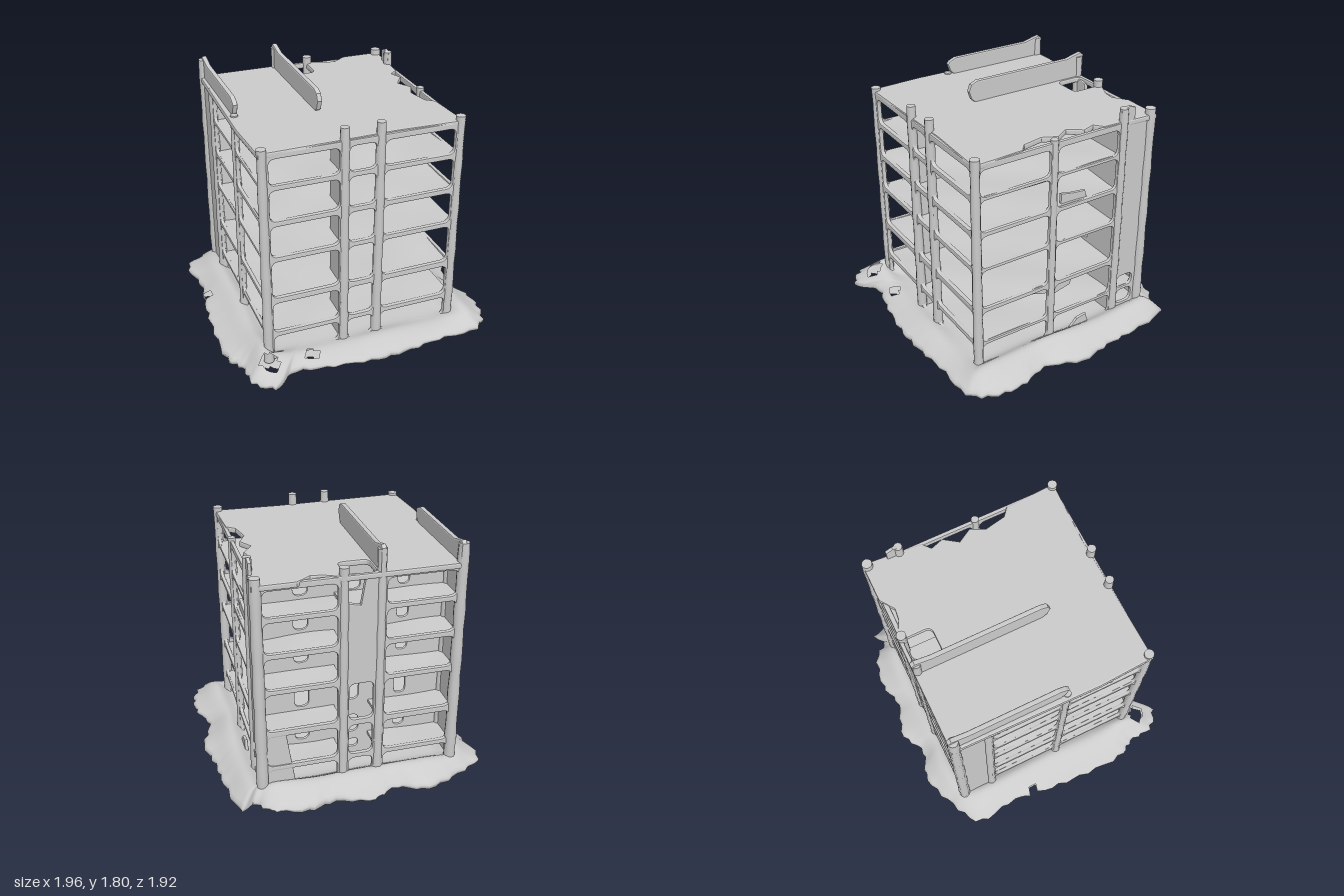
import * as THREE from 'three';
import { toCreasedNormals } from 'three/addons/utils/BufferGeometryUtils.js';

const grey = new THREE.MeshStandardMaterial({ color: 0xcccccc, side: THREE.DoubleSide });
// clear height of each storey (main faces, then the thinner side beams) and floor levels
const storeys = [[0.07, 0.225], [0.262, 0.495], [0.54, 0.82], [0.858, 1.085], [1.125, 1.345], [1.383, 1.565]];
const sideStoreys = [[0.07, 0.232], [0.256, 0.5], [0.532, 0.828], [0.852, 1.09], [1.12, 1.352], [1.376, 1.565]];
const levels = [0.243, 0.515, 0.84, 1.105, 1.362];

const wave = (x, z, s = 0) => Math.sin(x * 7 + s) * Math.cos(z * 6 + s * 2) * 0.7 + Math.sin(x * 9 + z * 8 + s) * 0.3;

function add(parent, name, geo, x = 0, y = 0, z = 0) {
  const m = new THREE.Mesh(geo, grey);
  m.name = name;
  m.position.set(x, y, z);
  parent.add(m);
  return m;
}

// rounded rectangular opening
function opening([x0, x1, y0, y1]) {
  const r = Math.min(0.045, (x1 - x0) * 0.45, (y1 - y0) * 0.45);
  const p = new THREE.Path();
  p.moveTo(x0 + r, y0);
  p.lineTo(x1 - r, y0); p.quadraticCurveTo(x1, y0, x1, y0 + r);
  p.lineTo(x1, y1 - r); p.quadraticCurveTo(x1, y1, x1 - r, y1);
  p.lineTo(x0 + r, y1); p.quadraticCurveTo(x0, y1, x0, y1 - r);
  p.lineTo(x0, y0 + r); p.quadraticCurveTo(x0, y0, x0 + r, y0);
  return p;
}

// upright wall with openings, outline given as [u, v] corners
function wall(parent, name, outline, holes, depth = 0.035) {
  const s = new THREE.Shape(outline.map(p => new THREE.Vector2(...p)));
  s.holes = holes.map(opening);
  const b = Math.min(0.01, depth * 0.25);
  const g = new THREE.ExtrudeGeometry(s, {
    depth: depth - 2 * b, bevelSize: b, bevelThickness: b, bevelOffset: -b, bevelSegments: 2, curveSegments: 5
  });
  g.translate(0, 0, b - depth / 2);
  return add(parent, name, toCreasedNormals(g, 0.35));
}
const rect = (x0, x1, y0, y1) => [[x0, y0], [x1, y0], [x1, y1], [x0, y1]];
const bays = (list, rows) => list.flatMap(b => rows.map(s => [...b, ...s]));

// slightly uneven round column
function column(parent, name, x, z, top, r = 0.035) {
  const g = new THREE.CylinderGeometry(r * 0.9, r, top - 0.03, 12, 14);
  const p = g.attributes.position;
  for (let i = 0; i < p.count; i++) {
    const k = 1 + 0.07 * Math.sin(p.getY(i) * 19 + x * 5 + z * 3);
    p.setX(i, p.getX(i) * k);
    p.setZ(i, p.getZ(i) * k);
  }
  add(parent, name, toCreasedNormals(g, 0.9), x, (top + 0.03) / 2, z);
}

// uneven floor slab
function slab(parent, name, y, x0, x1, z0, z1, seed) {
  const g = new THREE.BoxGeometry(x1 - x0, 0.022, z1 - z0, 28, 1, 28);
  g.translate((x0 + x1) / 2, 0, (z0 + z1) / 2);
  const p = g.attributes.position;
  for (let i = 0; i < p.count; i++) p.setY(i, p.getY(i) + 0.011 * wave(p.getX(i), p.getZ(i), seed));
  add(parent, name, toCreasedNormals(g, 0.8), 0, y, 0);
}

// torn scrap hanging from or standing on a slab edge, facing sideways
function scrap(parent, x, outline) {
  const m = wall(parent, 'tornScrap', outline, [], 0.025);
  m.rotation.y = -Math.PI / 2;
  m.position.x = x;
}

// ragged mound of ground with a flat underside
function ground(parent) {
  const edge = new THREE.CatmullRomCurve3([
    [0.96, 0], [0.88, 0.27], [0.95, 0.5], [0.93, 0.72], [0.82, 0.86], [0.5, 0.88], [0.22, 0.91], [-0.03, 0.92],
    [-0.35, 0.88], [-0.6, 0.84], [-0.74, 0.95], [-0.88, 0.86], [-0.9, 0.68], [-0.97, 0.55], [-0.98, 0.2], [-0.96, -0.1],
    [-0.92, -0.4], [-0.95, -0.7], [-0.72, -0.84], [-0.46, -0.93], [-0.25, -0.87], [-0.06, -0.96], [0.2, -0.89],
    [0.4, -0.94], [0.65, -0.88], [0.74, -0.78], [0.82, -0.83], [0.9, -0.5], [0.92, -0.25]
  ].map(([x, z]) => new THREE.Vector3(x, 0, z)), true);
  const N = 144, R = 26, pos = [], idx = [];
  const outline = edge.getPoints(N);
  for (const top of [true, false]) for (let k = 0; k <= R; k++) for (let j = 0; j < N; j++) {
    const t = Math.sqrt(k / R), rag = 1 + 0.012 * Math.sin(j * 2.3) * t ** 8;
    const x = outline[j].x * t * rag, z = outline[j].z * t * rag;
    const d = Math.max(Math.abs(x), Math.abs(z)) - 0.75;
    const corner = 0.025 * Math.exp(-(((x + 0.76) ** 2 + (z - 0.62) ** 2) / 0.03));
    const side = (z > 0 ? 0.075 - 0.045 * THREE.MathUtils.smoothstep(z - Math.abs(x), -0.1, 0.2) : 0.075) + corner;
    const berm = side * Math.exp(-((d / (d < 0 ? 0.08 : 0.12)) ** 2)) * (1 + 0.3 * wave(x, z, 1));
    const h = (0.062 + 0.008 * wave(x, z) + berm) * (1 - t ** 16) + 0.035 * t ** 16;
    pos.push(x, top ? h : 0.014 + 0.012 * wave(x, z, 3) * t * t, z);
  }
  const holes = [[-0.72, 0.79, 0.06], [-0.41, 0.76, 0.045], [-0.91, -0.17, 0.035]];
  for (let s = 0; s < 2; s++) for (let k = 0; k < R; k++) for (let j = 0; j < N; j++) {
    const o = s * (R + 1) * N, n = (j + 1) % N;
    const a = o + k * N + j, b = a + N, c = o + (k + 1) * N + n, e = o + k * N + n;
    if (holes.some(([x, z, r]) => Math.hypot(pos[3 * a] - x, pos[3 * a + 2] - z) < r)) continue;
    if (s) idx.push(a, b, c, a, c, e); else idx.push(a, c, b, a, e, c);
  }
  for (let j = 0; j < N; j++) {
    const n = (j + 1) % N, a = R * N + j, b = R * N + n, o = (R + 1) * N;
    idx.push(a, b, b + o, a, b + o, a + o);
  }
  const g = new THREE.BufferGeometry();
  g.setAttribute('position', new THREE.Float32BufferAttribute(pos, 3));
  g.setIndex(idx);
  g.computeVertexNormals();
  add(parent, 'ground', g);
}

export function createModel() {
  const model = new THREE.Group();
  model.name = 'ruinedBuilding';
  ground(model);

  // front frame: three bays
  const cols = [-0.71, -0.16, 0.09, 0.66];
  wall(model, 'frontFrame', rect(-0.73, 0.68, 0.04, 1.61),
    bays([[-0.67, -0.195], [-0.13, 0.06], [0.12, 0.625]], storeys)).position.z = 0.67;

  // rear frame: open outer bays, stair bay closed in its upper part and notched at the top
  wall(model, 'rearFrame',
    [[-0.73, 0.04], [0.68, 0.04], [0.68, 1.61], [0.09, 1.61], [0.07, 1.42], [-0.02, 1.4], [-0.05, 1.59], [-0.15, 1.61], [-0.73, 1.61]],
    [...bays([[-0.68, -0.2], [0.13, 0.62]], storeys), ...bays([[-0.12, 0.05]], storeys.slice(0, 3))]).position.z = -0.71;
  wall(model, 'rearPanel', [[0.42, 0.05], [0.66, 0.05], [0.66, 0.52], [0.49, 0.52]], [], 0.02).position.z = -0.71;

  // recessed rear wall with windows
  const sills = [[0.15, 0.215], [0.28, 0.42], [0.55, 0.72], [0.9, 1.06], [1.15, 1.28], [1.4, 1.51]];
  const windows = sills.flatMap(([a, b], i) => [
    [-0.435, -0.355, a, b], [0.27, 0.37, a, b], ...(i === 3 ? [] : [[-0.09, 0.02, a, b]])]);
  wall(model, 'recessedWall', rect(-0.7, 0.66, 0.04, 1.6), windows, 0.025).position.z = -0.47;

  // side frames, closed toward the rear
  for (const [name, x] of [['rightFrame', -0.71], ['leftFrame', 0.66]]) {
    const low = x > 0 ? [[-0.65, -0.51, 0.26, 0.36], [-0.65, -0.51, 0.12, 0.235]] : [];
    const f = wall(model, name, rect(-0.74, 0.69, 0.04, 1.61),
      [...bays([[-0.445, 0.05], [0.11, 0.64]], sideStoreys), ...low], 0.028);
    f.rotation.y = -Math.PI / 2;
    f.position.x = x;
    column(model, 'sideColumn', x, 0.08, 1.63, 0.03);
    column(model, 'sideColumn', x, -0.48, x > 0 ? 1.71 : 1.62);
  }

  // front and rear columns
  [1.64, 1.7, 1.7, 1.65].forEach((top, i) => column(model, 'frontColumn', cols[i], 0.67, top));
  [1.75, 1.77, 1.67, 1.66].forEach((top, i) => column(model, 'rearColumn', cols[i], -0.71, top, i % 3 ? 0.035 : 0.042));

  // fin wall behind the front column
  const fin = wall(model, 'finWall', rect(0.45, 0.67, 0.05, 1.59), [], 0.03);
  fin.rotation.y = -Math.PI / 2;
  fin.position.x = -0.16;

  // floors; the stair shaft is only floored at the top
  levels.forEach((y, i) => {
    slab(model, 'floor', y, -0.71, 0.66, -0.48, 0.67, i);
    slab(model, 'balcony', y, -0.71, -0.16, -0.71, -0.48, i);
    slab(model, 'balcony', y, 0.09, 0.66, -0.71, -0.48, i);
  });
  slab(model, 'shaftFloor', 1.385, -0.16, 0.09, -0.71, -0.48, 4);

  // roof with shaft opening and torn edges
  const roof = new THREE.Shape([
    [-0.74, -0.74], [0.1, -0.74], [0.22, -0.68], [0.3, -0.67], [0.4, -0.74], [0.69, -0.74], [0.66, -0.32], [0.6, -0.27],
    [0.63, -0.18], [0.56, -0.08], [0.62, 0.02], [0.57, 0.12], [0.6, 0.27], [0.66, 0.32], [0.68, 0.69], [0.2, 0.67],
    [-0.2, 0.68], [-0.74, 0.69], [-0.76, 0.3]
  ].map(([x, z]) => new THREE.Vector2(x, -z)));
  roof.holes.push(opening([-0.13, 0.08, 0.51, 0.71]));
  const rg = new THREE.ExtrudeGeometry(roof, { depth: 0.02, bevelSize: 0.012, bevelThickness: 0.012, bevelOffset: -0.012, bevelSegments: 2 });
  rg.rotateX(-Math.PI / 2);
  add(model, 'roof', toCreasedNormals(rg, 0.35), 0, 1.588, 0);

  // roof fins running front to back
  for (const [x, z1, top] of [[-0.16, 0.23, 1.78], [-0.7, 0.09, 1.75]]) {
    const f = wall(model, 'roofFin', [[-0.74, 1.59], [z1 - 0.08, 1.59], [z1 - 0.02, 1.64], [z1, 1.7],
      [z1 - 0.02, top - 0.03], [z1 - 0.07, top - 0.01], [-0.6, top - 0.01], [-0.72, top + 0.02], [-0.745, top]], [], 0.036);
    f.rotation.y = -Math.PI / 2;
    f.position.x = x;
  }

  // torn scraps along the left side
  scrap(model, 0.65, [[0.06, 0.49], [0.13, 0.455], [0.2, 0.48], [0.3, 0.51], [0.2, 0.54], [0.06, 0.53]]);
  scrap(model, 0.62, [[-0.13, 0.51], [-0.11, 0.43], [0.02, 0.4], [0.03, 0.44], [-0.02, 0.51]]);
  scrap(model, 0.63, [[-0.22, 1.1], [0, 1.1], [0, 1.2], [-0.1, 1.18], [-0.2, 1.17]]);
  scrap(model, 0.66, [[-0.57, 1.58], [-0.45, 1.58], [-0.45, 1.7], [-0.52, 1.72], [-0.57, 1.7]]);
  scrap(model, 0.68, [[-0.25, 0.05], [-0.05, 0.05], [-0.14, 0.15], [-0.22, 0.165]]);
  return model;
}
